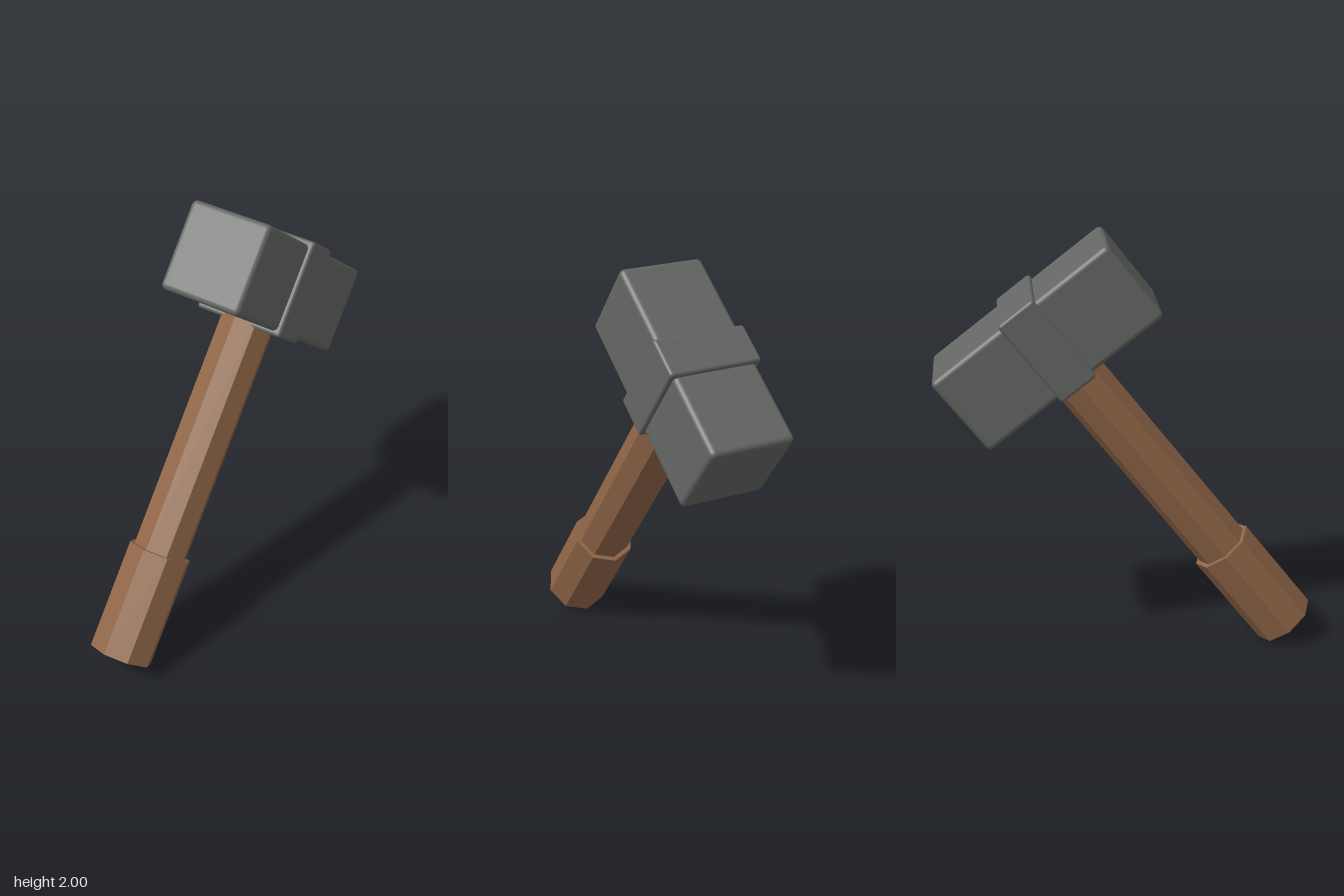
import * as THREE from 'three';
import { RoundedBoxGeometry } from 'three/addons/geometries/RoundedBoxGeometry.js';

export function createModel() {
  const wood = new THREE.MeshStandardMaterial({ color: 0x8f6546 });
  wood.name = 'brown wood';
  const iron = new THREE.MeshStandardMaterial({ color: 0x636663 });
  iron.name = 'dark iron';

  // The hammer is built upright around the centre of its head, then leaned over.
  const hammer = new THREE.Group();
  hammer.name = 'hammer';

  const add = (name, geometry, material, y = 0) => {
    const mesh = new THREE.Mesh(geometry, material);
    mesh.name = name;
    mesh.position.y = y;
    hammer.add(mesh);
  };

  // Faceted eight-sided rod between two heights
  const rod = (name, radius, bottom, top) => {
    const geometry = new THREE.CylinderGeometry(radius, radius, top - bottom, 8).toNonIndexed();
    geometry.computeVertexNormals();
    add(name, geometry, wood, (bottom + top) / 2);
  };

  // Head block and the raised band around its middle
  add('head', new RoundedBoxGeometry(0.985, 0.41, 0.41, 3, 0.025), iron);
  add('headBand', new RoundedBoxGeometry(0.195, 0.45, 0.45, 3, 0.015), iron);

  // Shaft and thicker grip
  rod('handle', 0.128, -1.4, -0.1);
  rod('grip', 0.15, -1.84, -1.33);

  // Lean sideways, then turn an eighth of a circle
  hammer.rotation.set(0, Math.PI / 4, THREE.MathUtils.degToRad(-38), 'YXZ');
  hammer.position.set(0.22, 1.545, -0.22);

  const model = new THREE.Group();
  model.name = 'model';
  model.add(hammer);
  return model;
}
